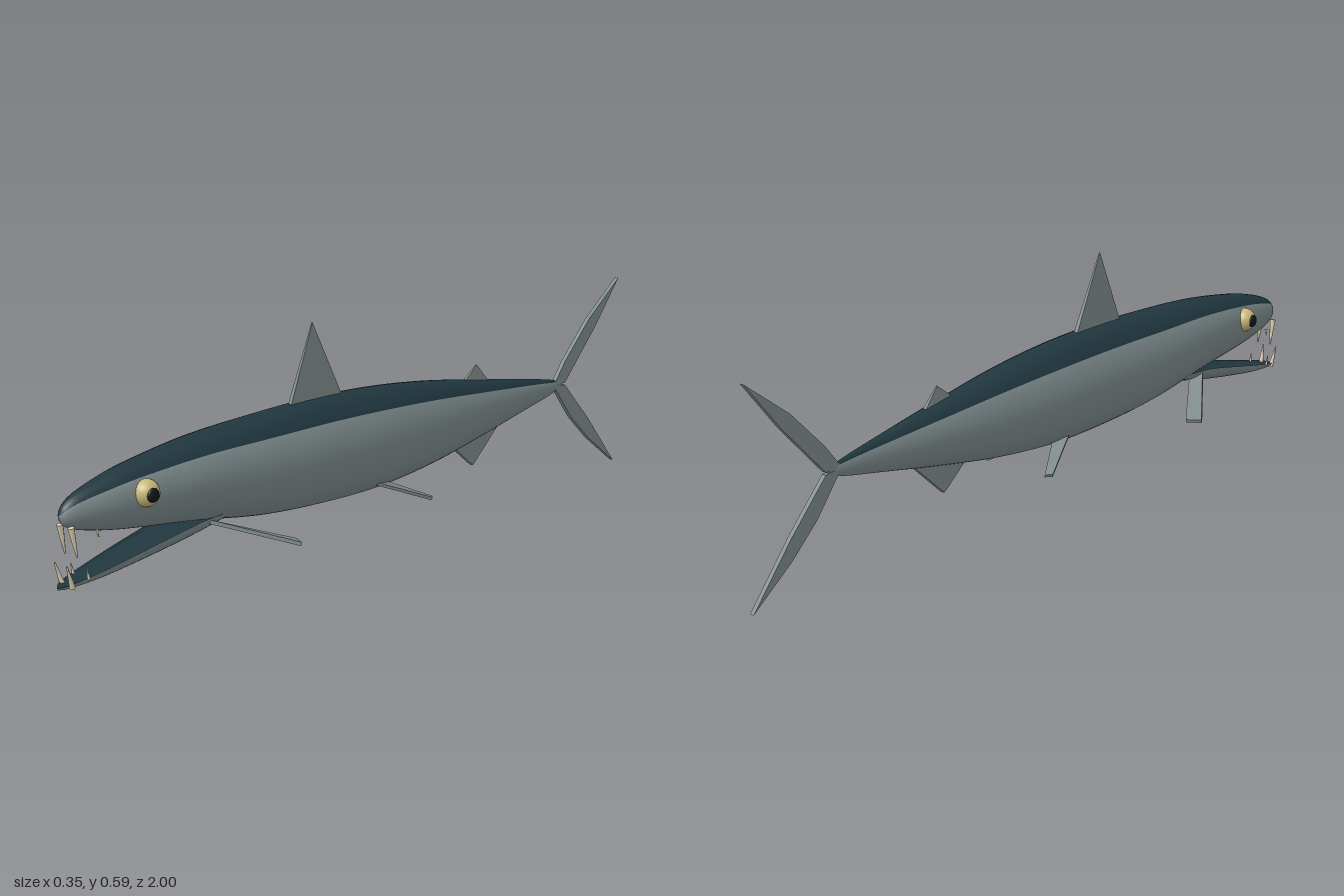
import * as THREE from 'three';
import { toCreasedNormals } from 'three/addons/utils/BufferGeometryUtils.js';

const mat = (name, color, side = THREE.FrontSide) =>
  Object.assign(new THREE.MeshStandardMaterial({ color, side }), { name });

// Skin through cross-sections [z, top, bottom, halfWidth]; angles from..to (degrees) use material 0
function loft(sections, ring, from, to, rows = 48, cols = 36) {
  const a = new THREE.CatmullRomCurve3(sections.map(s => new THREE.Vector3(s[0], s[1], s[2])), false, 'catmullrom');
  const b = new THREE.CatmullRomCurve3(sections.map(s => new THREE.Vector3(s[0], s[3], 0)), false, 'catmullrom');
  const pos = [], first = [], second = [];
  for (let i = 0; i <= rows; i++) {
    const p = a.getPoint(i / rows), w = b.getPoint(i / rows).y;
    for (let j = 0; j < cols; j++) {
      const t = j / cols * Math.PI * 2;
      pos.push(w * Math.cos(t), ring(p.y, p.z, Math.sin(t)), p.x);
    }
  }
  for (let i = 0; i < rows; i++) for (let j = 0; j < cols; j++) {
    const k = (j + 1) % cols, r = i * cols, s = r + cols, deg = (j + 0.5) * 360 / cols;
    (deg > from && deg < to ? first : second).push(r + j, s + j, r + k, r + k, s + j, s + k);
  }
  // Close both ends
  for (let j = 1; j < cols - 1; j++) {
    const e = rows * cols;
    second.push(0, j, j + 1, e, e + j + 1, e + j);
  }
  const g = new THREE.BufferGeometry();
  g.setAttribute('position', new THREE.Float32BufferAttribute(pos, 3));
  g.setIndex([...first, ...second]);
  g.addGroup(0, first.length, 0);
  g.addGroup(first.length, second.length, 1);
  g.computeVertexNormals();
  return g;
}

// Upright fin from a [z, y] outline; the tip point can be thinned
function uprightFin(outline, tip = null, thick = 0.012) {
  const shape = new THREE.Shape(outline.map(p => new THREE.Vector2(...p)));
  const g = new THREE.ExtrudeGeometry(shape, { depth: thick, bevelEnabled: false });
  g.translate(0, 0, -thick / 2).rotateY(-Math.PI / 2);
  const p = g.attributes.position;
  if (tip) for (let i = 0; i < p.count; i++)
    if (Math.hypot(p.getZ(i) - tip[0], p.getY(i) - tip[1]) < 0.001) p.setX(i, p.getX(i) * 0.25);
  g.computeVertexNormals();
  return g;
}

// Thin slab spanning four corners in space
function slab(corners, thick) {
  const [a, b, c, d] = corners.map(p => new THREE.Vector3(...p));
  const n = b.clone().sub(a).cross(d.clone().sub(a)).normalize();
  const g = new THREE.BoxGeometry(1, 1, 1), p = g.attributes.position;
  for (let i = 0; i < p.count; i++) {
    const u = p.getX(i) + 0.5, v = p.getY(i) + 0.5;
    const q = a.clone().lerp(b, u).lerp(d.clone().lerp(c, u), v).addScaledVector(n, p.getZ(i) * thick);
    p.setXYZ(i, q.x, q.y, q.z);
  }
  g.computeVertexNormals();
  return g;
}

// Pointed tooth from root to tip
function tooth(root, tip, radius) {
  const a = new THREE.Vector3(...root), b = new THREE.Vector3(...tip), d = b.clone().sub(a);
  const g = new THREE.CylinderGeometry(radius * 0.25, radius, d.length(), 8);
  g.applyQuaternion(new THREE.Quaternion().setFromUnitVectors(new THREE.Vector3(0, 1, 0), d.normalize()));
  return g.translate(...a.add(b).multiplyScalar(0.5).toArray());
}

export function createModel() {
  const model = new THREE.Group();
  model.name = 'fish';
  const dark = mat('darkBack', 0x20363f), grey = mat('greyFlank', 0x7d8a8c);
  const finMat = mat('finGrey', 0x7f8b8b, THREE.DoubleSide);
  const ivory = mat('ivoryTooth', 0xd9ccb0), yellow = mat('eyeYellow', 0xc8b878), black = mat('pupilBlack', 0x11161a);
  const add = (name, geometry, material) => {
    const m = new THREE.Mesh(geometry, material);
    m.name = name;
    model.add(m);
    return m;
  };

  // Body with a dark back
  add('body', loft([
    [0.985, 0.285, 0.277, 0.003], [0.972, 0.306, 0.259, 0.017], [0.94, 0.326, 0.244, 0.03],
    [0.87, 0.348, 0.227, 0.046], [0.78, 0.367, 0.212, 0.058], [0.6, 0.39, 0.188, 0.076],
    [0.4, 0.4, 0.155, 0.086], [0.2, 0.403, 0.139, 0.088], [0, 0.395, 0.136, 0.084],
    [-0.2, 0.374, 0.153, 0.07], [-0.4, 0.342, 0.185, 0.048], [-0.6, 0.307, 0.222, 0.023],
    [-0.71, 0.286, 0.243, 0.01], [-0.76, 0.27, 0.262, 0.003],
  ], (top, bottom, s) => (top + bottom) / 2 + (top - bottom) / 2 * s, 40, 140, 72), [dark, grey]);

  // Open lower jaw with a hollow dark floor
  const jaw = loft([
    [0.995, 0.123, 0.118, 0.004], [0.97, 0.13, 0.117, 0.02], [0.88, 0.148, 0.122, 0.036],
    [0.75, 0.175, 0.139, 0.048], [0.62, 0.199, 0.16, 0.055], [0.53, 0.2, 0.178, 0.045],
  ], (top, bottom, s) => top + (top - bottom) * s * (s > 0 ? -0.35 : 1), 0, 180, 30);
  add('lowerJaw', toCreasedNormals(jaw, 0.8), [dark, grey]);

  // Fins on the centre line
  add('dorsalFin', uprightFin([[0.29, 0.385], [0.206, 0.59], [0.105, 0.385]], [0.206, 0.59]), finMat);
  add('rearDorsalFin', uprightFin([[-0.33, 0.33], [-0.4, 0.382], [-0.46, 0.315]], [-0.4, 0.382]), finMat);
  add('analFin', uprightFin([[-0.29, 0.19], [-0.385, 0.113], [-0.5, 0.215]]), finMat);
  add('upperTailLobe', uprightFin([[-0.72, 0.268], [-0.77, 0.33], [-0.87, 0.43], [-1, 0.527], [-0.9, 0.405], [-0.77, 0.268]]), finMat);
  add('lowerTailLobe', uprightFin([[-0.72, 0.268], [-0.8, 0.165], [-0.88, 0.09], [-1, 0], [-0.88, 0.145], [-0.77, 0.262]]), finMat);

  for (const s of [1, -1]) {
    const side = s > 0 ? 'left' : 'right';
    const flip = pts => pts.map(([x, y, z]) => [s * x, y, z]);
    // Paired fins
    add(side + 'PectoralFin', slab(flip([[0.045, 0.195, 0.6], [0.174, 0.125, 0.42], [0.137, 0.123, 0.402], [0.03, 0.178, 0.56]]), 0.009), finMat);
    add(side + 'PelvicFin', slab(flip([[0.045, 0.162, 0.035], [0.109, 0.104, -0.107], [0.094, 0.103, -0.12], [0.028, 0.155, -0.01]]), 0.008), finMat);

    // Eye and pupil
    add(side + 'Eye', new THREE.SphereGeometry(0.032, 24, 16), yellow).position.set(s * 0.05, 0.303, 0.78);
    const pupil = add(side + 'Pupil', new THREE.SphereGeometry(0.017, 20, 12), black);
    pupil.scale.x = 0.45;
    pupil.position.set(s * 0.077, 0.303, 0.782);

    // Long fangs and small side teeth
    const fang = (name, a, b, r) => add(side + name, tooth(...flip([a, b]), r), ivory);
    fang('UpperFang', [0.019, 0.258, 0.968], [0.021, 0.188, 0.955], 0.008);
    fang('LowerFang', [0.017, 0.12, 0.968], [0.021, 0.175, 0.985], 0.007);
    fang('UpperSideTooth', [0.036, 0.245, 0.91], [0.039, 0.228, 0.908], 0.004);
    fang('LowerSideTooth', [0.027, 0.134, 0.93], [0.028, 0.16, 0.935], 0.004);
  }
  return model;
}
